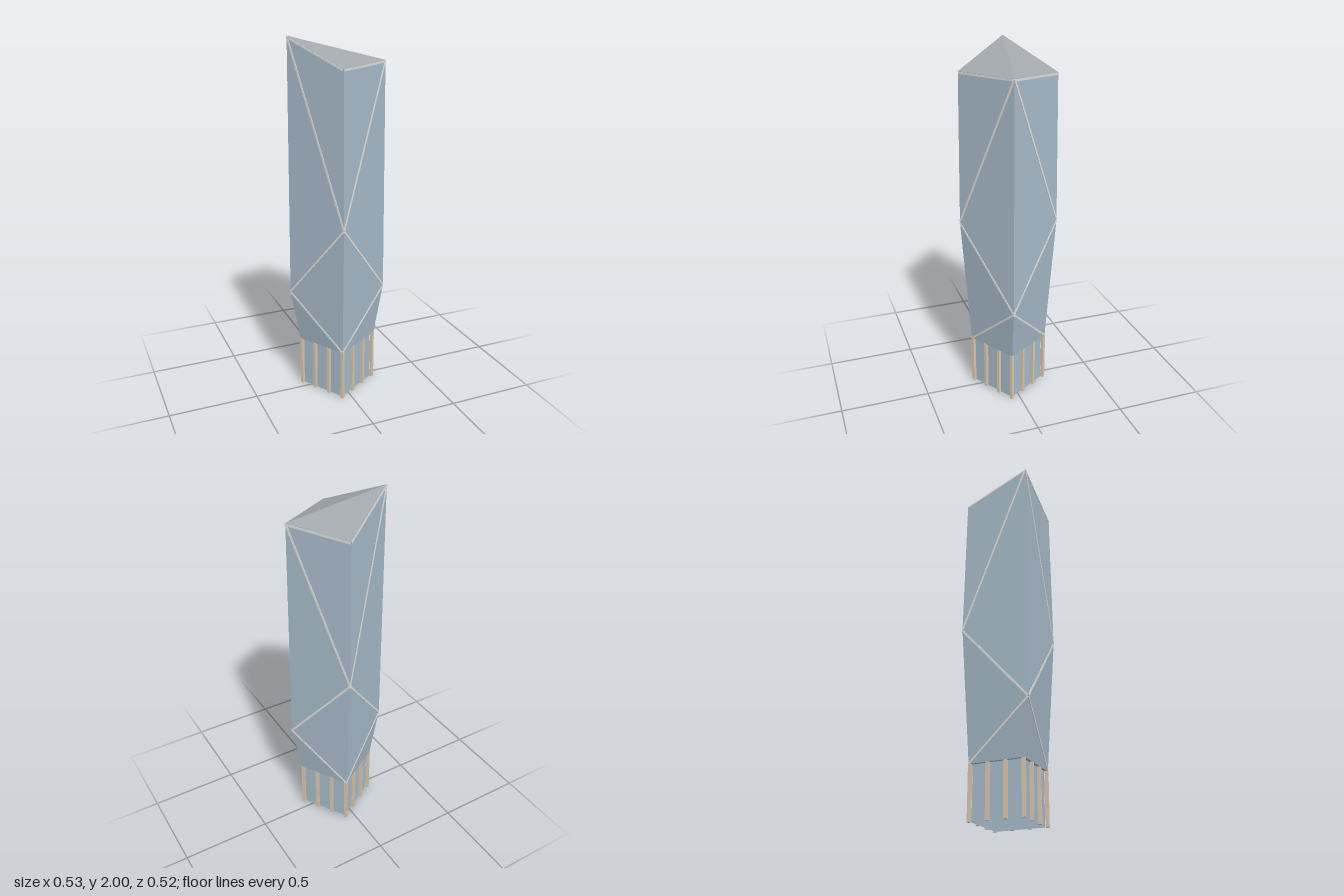
import * as THREE from 'three';

const V = (x, y, z) => new THREE.Vector3(x, y, z);
const material = (color, side = THREE.FrontSide) =>
  new THREE.MeshStandardMaterial({ color, side, flatShading: true });

// Each corner of the twisted shaft: base, knee, top (counter-clockwise from above)
const corners = [
  [V(-0.21, 0.29, -0.05), V(-0.262, 0.59, -0.059), V(-0.254, 2.0, -0.055)],
  [V(-0.055, 0.29, 0.208), V(-0.07, 1.03, 0.258), V(-0.07, 1.86, 0.247)],
  [V(0.21, 0.29, 0.05), V(0.262, 0.59, 0.059), V(0.25, 1.87, 0.055)],
  [V(0.055, 0.29, -0.208), V(0.07, 1.03, -0.258), V(0.068, 1.85, -0.246)],
];

function triangleMesh(name, triangles, mat) {
  const geometry = new THREE.BufferGeometry().setFromPoints(triangles.flat());
  geometry.computeVertexNormals();
  const mesh = new THREE.Mesh(geometry, mat);
  mesh.name = name;
  return mesh;
}

// Flat strip from p to q, lying on a face that looks along outward
function strip(p, q, outward, mat) {
  const along = q.clone().sub(p);
  const length = along.length() - 0.008;
  along.normalize();
  const normal = outward.clone().addScaledVector(along, -outward.dot(along)).normalize();
  const across = along.clone().cross(normal);
  const mesh = new THREE.Mesh(new THREE.BoxGeometry(0.011, length, 0.005), mat);
  mesh.quaternion.setFromRotationMatrix(new THREE.Matrix4().makeBasis(across, along, normal));
  mesh.position.copy(p).lerp(q, 0.5);
  mesh.name = 'facadeStrip';
  return mesh;
}

export function createModel() {
  const tower = new THREE.Group();
  tower.name = 'tower';
  const glass = material(0xa8bccb);
  const lobbyGlass = material(0xa8bccb, THREE.DoubleSide);
  const roofGrey = material(0xa2a8ac);
  const trim = material(0xe2e0dc);
  const postTan = material(0xdac8b0);

  const strips = new THREE.Group();
  strips.name = 'facadeStrips';
  const lobby = new THREE.Group();
  lobby.name = 'lobby';
  const facets = [];

  for (let i = 0; i < 4; i++) {
    const left = corners[i], right = corners[(i + 1) % 4];
    const lowOnLeft = i % 2 === 0;
    const [low, high] = lowOnLeft ? [left, right] : [right, left];
    const run = right[0].clone().sub(left[0]).setY(0);
    const outward = V(-run.z, 0, run.x).normalize();

    // Four facets per side, folded along a zigzag between the knees
    const side = [
      [high[0], low[0], low[1]],
      [high[0], low[1], high[1]],
      [high[1], low[1], low[2]],
      [high[1], low[2], high[2]],
    ];
    facets.push(...side.map(t => (lowOnLeft ? t.reverse() : t)));

    // Pale strips on the folds and along the roof edge
    const zigzag = [high[0], low[1], high[1], low[2]];
    for (let k = 0; k < 3; k++) strips.add(strip(zigzag[k], zigzag[k + 1], outward, trim));
    const drop = V(0, -0.008, 0);
    strips.add(strip(left[2].clone().add(drop), right[2].clone().add(drop), outward, trim));

    // Recessed lobby wall
    const angle = Math.atan2(-run.z, run.x);
    const middle = left[0].clone().lerp(right[0], 0.5);
    const wall = new THREE.Mesh(new THREE.PlaneGeometry(run.length() * 0.9, 0.29), lobbyGlass);
    wall.position.set(middle.x * 0.9, 0.145, middle.z * 0.9);
    wall.rotation.y = angle;
    wall.name = 'lobbyWall';
    lobby.add(wall);

    // Posts in front of the wall, at the corner and at each third of the side
    for (let k = 0; k < 3; k++) {
      const at = left[0].clone().lerp(right[0], k / 3).multiplyScalar(0.96);
      const post = new THREE.Mesh(new THREE.BoxGeometry(0.017, 0.29, 0.017), postTan);
      post.position.set(at.x, 0.145, at.z);
      post.rotation.y = angle;
      post.name = 'lobbyPost';
      lobby.add(post);
    }
  }

  const [a, b, c, d] = corners;
  tower.add(
    triangleMesh('shaft', facets, glass),
    triangleMesh('roof', [[a[2], b[2], c[2]], [a[2], c[2], d[2]]].map(t => t.reverse()).map(t => t.reverse()), roofGrey),
    triangleMesh('shaftUnderside', [[a[0], c[0], b[0]], [a[0], d[0], c[0]]], glass),
    strips,
    lobby,
  );
  return tower;
}
